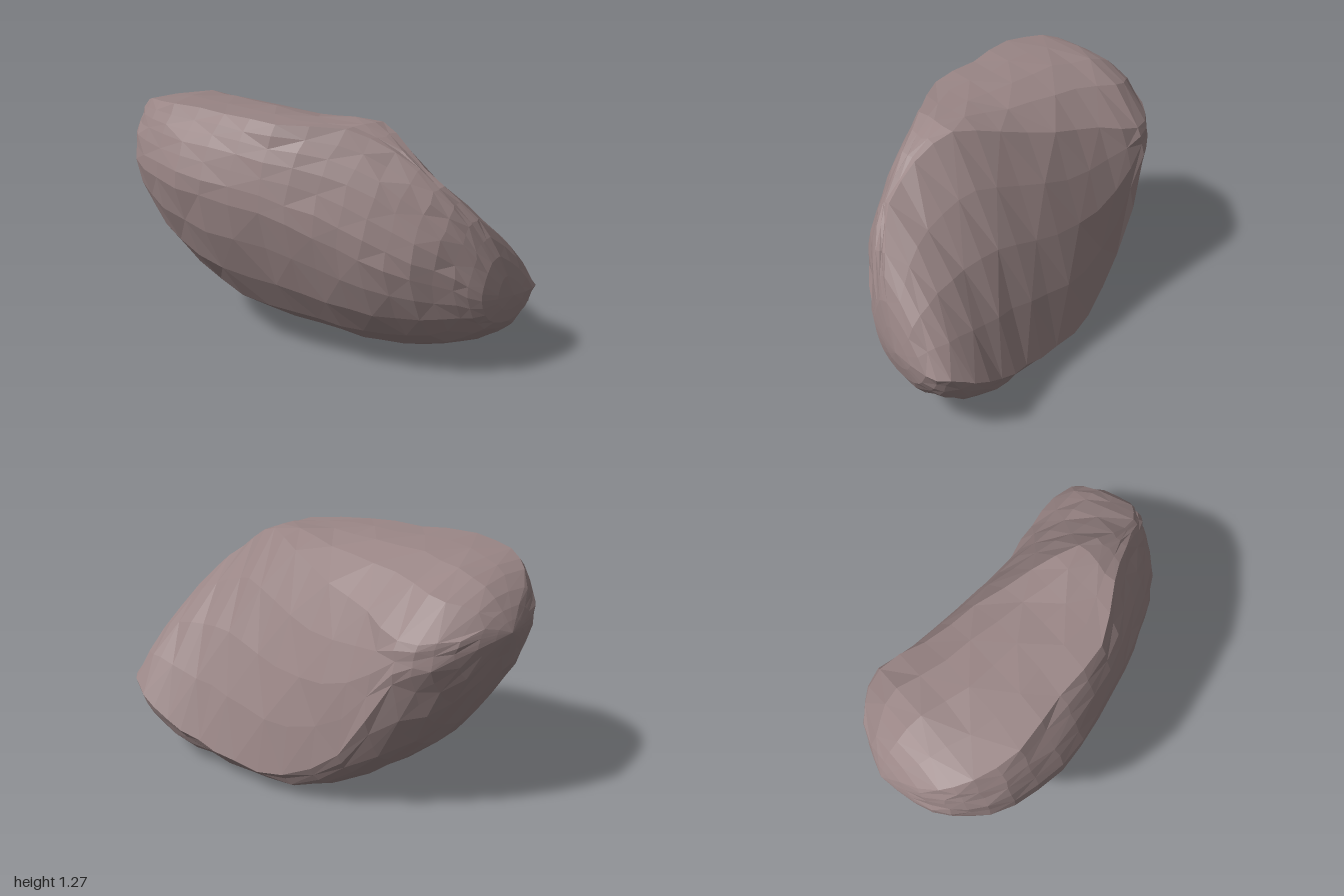
import * as THREE from 'three';

// Cross-sections along z: the upright slices of a boulder with a flat top and one sheared side.
// z, left x,y, bottom x,y, foot of sheared face x,y, top right x,y, top left x,y
const SECTIONS = [
  [-0.95, -0.40, 0.99, -0.20, 0.85, -0.02, 0.93, -0.06, 1.02, -0.30, 1.08],
  [-0.85, -0.55, 0.97, -0.15, 0.61, 0.17, 0.84, 0.14, 0.97, -0.46, 1.19],
  [-0.70, -0.65, 0.94, -0.05, 0.36, 0.28, 0.76, 0.24, 0.97, -0.54, 1.25],
  [-0.45, -0.695, 0.91, 0.08, 0.16, 0.38, 0.33, 0.19, 1.03, -0.56, 1.265],
  [-0.15, -0.655, 0.88, 0.20, 0.02, 0.48, 0.14, 0.17, 1.09, -0.48, 1.265],
  [0.15, -0.53, 0.84, 0.24, 0.005, 0.56, 0.13, 0.12, 1.18, -0.41, 1.255],
  [0.40, -0.41, 0.76, 0.28, 0.01, 0.61, 0.17, 0.06, 1.24, -0.20, 1.245],
  [0.60, -0.29, 0.67, 0.34, 0.04, 0.67, 0.24, 0.03, 1.14, -0.06, 1.15],
  [0.78, -0.14, 0.59, 0.40, 0.105, 0.69, 0.33, 0.08, 1.00, 0.02, 0.99],
  [0.90, 0.04, 0.52, 0.40, 0.195, 0.655, 0.39, 0.19, 0.84, 0.13, 0.82],
  [0.97, 0.17, 0.45, 0.38, 0.28, 0.57, 0.40, 0.29, 0.65, 0.23, 0.63],
];
const BACK = new THREE.Vector3(-0.2, 0.98, -1);
const FRONT = new THREE.Vector3(0.38, 0.43, 1);
const TOP = 4, BOWL = 18, FACE = 4, COLS = TOP + BOWL + FACE, ROWS = 24;

// One closed loop: flat top, rounded bowl, sheared face
function sectionLoop([z, lx, ly, mx, my, cx, cy, bx, by, ax, ay]) {
  const v = (x, y) => new THREE.Vector3(x, y, z);
  const A = v(ax, ay), B = v(bx, by), C = v(cx, cy);
  const size = Math.min(1, C.distanceTo(B));
  const shoulder = v(lx + (ax - lx) * 0.37, ay + (ly - ay) * 0.4);
  const diagonal = v(lx + (mx - lx) * 0.3, my + (ly - my) * 0.3);
  const heel = v(cx + (mx - cx) * 0.3, my + (cy - my) * 0.3);
  const bowl = new THREE.CatmullRomCurve3([A, shoulder, v(lx, ly), diagonal, v(mx, my), heel, C]);
  const loop = [];
  for (let i = 0; i < TOP; i++) {
    // The top rises quickly from the sheared edge, or falls slowly from it near the front
    const t = i / TOP, rise = ay > by ? 1 - (1 - t) ** 3.5 : t * t;
    loop.push(v(bx + (ax - bx) * t, by + (ay - by) * rise));
  }
  for (let i = 0; i < BOWL; i++) loop.push(bowl.getPoint(i / BOWL));
  for (let i = 0; i < FACE; i++) {
    const t = i / FACE, bulge = Math.sin(Math.PI * t) * 0.05 * size;
    loop.push(C.clone().lerp(B, t).add(v(bulge, bulge * 0.7).setZ(0)));
  }
  return loop;
}

// Small seeded noise
function seeded(seed) {
  return () => {
    seed = (seed * 16807) % 2147483647;
    return seed / 2147483647 - 0.5;
  };
}

function boulderGeometry() {
  const noise = seeded(71);
  const loops = SECTIONS.map(sectionLoop);
  // Smooth each column lengthwise, then roughen it slightly
  const columns = [];
  for (let j = 0; j < COLS; j++) {
    const curve = new THREE.CatmullRomCurve3([BACK, ...loops.map((l) => l[j]), FRONT]);
    const column = [];
    for (let i = 0; i <= ROWS; i++) {
      const p = curve.getPoint(i / ROWS);
      if (i > 2 && i < ROWS - 2) {
        p.x += noise() * 0.014;
        p.y = Math.max(0, p.y + noise() * 0.012);
        p.z += noise() * 0.018;
      }
      column.push(p);
    }
    columns.push(column);
  }
  const positions = [];
  const tri = (...pts) => pts.forEach((p) => positions.push(p.x, p.y, p.z));
  for (let j = 0; j < COLS; j++) {
    const p = columns[j], q = columns[(j + 1) % COLS];
    for (let i = 0; i < ROWS; i++) {
      const flip = (i + j) % 2 === 0;
      if (i === 0) tri(p[0], q[1], p[1]);
      else if (i === ROWS - 1) tri(p[i], q[i], p[i + 1]);
      else if (flip) {
        tri(p[i], q[i], q[i + 1]);
        tri(p[i], q[i + 1], p[i + 1]);
      } else {
        tri(p[i], q[i], p[i + 1]);
        tri(q[i], q[i + 1], p[i + 1]);
      }
    }
  }
  const geometry = new THREE.BufferGeometry();
  geometry.setAttribute('position', new THREE.Float32BufferAttribute(positions, 3));
  geometry.computeVertexNormals();
  return geometry;
}

export function createModel() {
  const group = new THREE.Group();
  group.name = 'rock';
  const material = new THREE.MeshStandardMaterial({ color: 0x9a8686, flatShading: true });
  const boulder = new THREE.Mesh(boulderGeometry(), material);
  boulder.name = 'boulder';
  group.add(boulder);
  return group;
}
